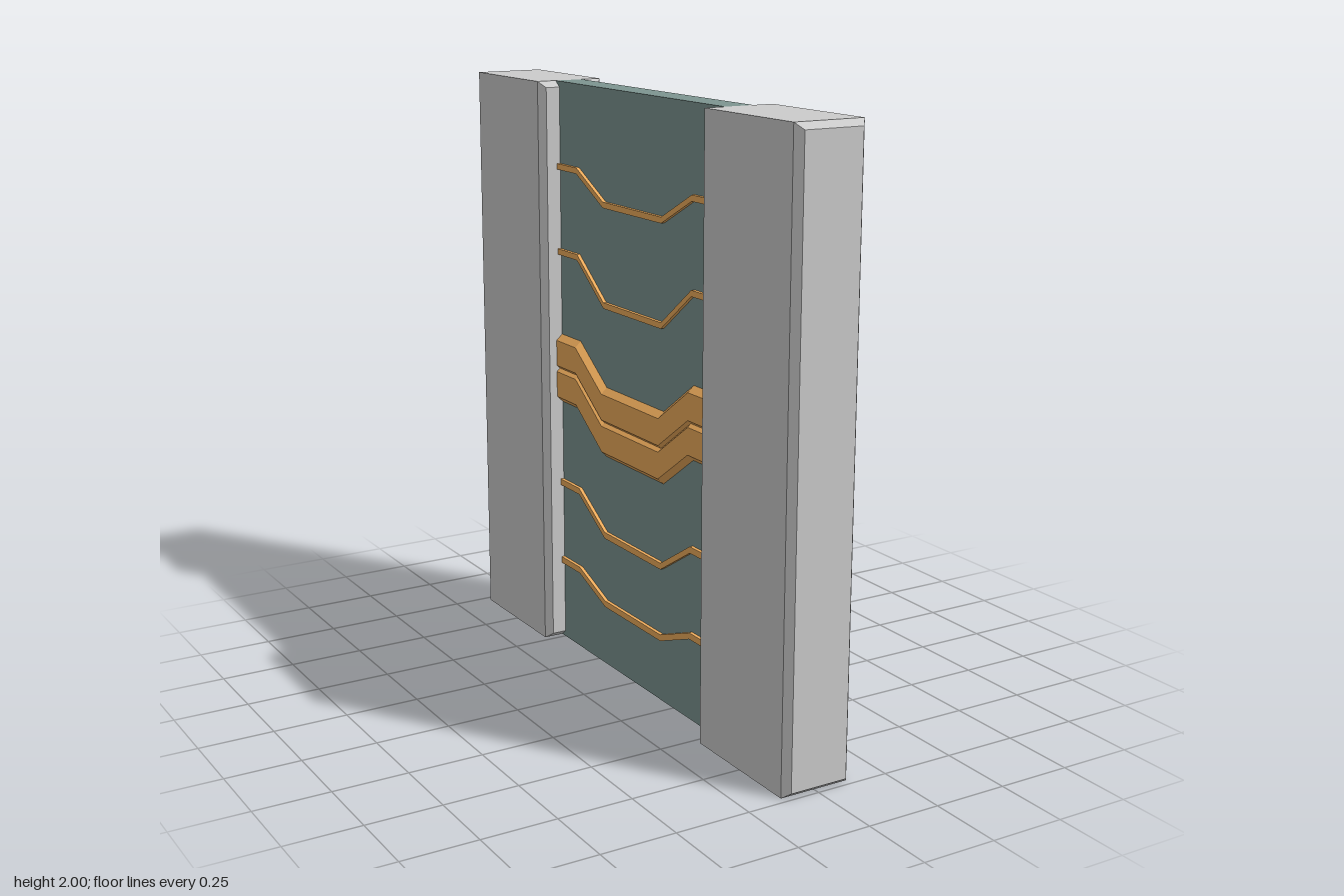
import * as THREE from 'three';

const grey = new THREE.MeshStandardMaterial({ color: 0xcccccc, flatShading: true });
const teal = new THREE.MeshStandardMaterial({ color: 0x7d9591, flatShading: true });
const bronze = new THREE.MeshStandardMaterial({ color: 0xeeac5c, flatShading: true });

// Upright block whose two z ends taper in with a chamfer
function postGeometry() {
  const w = 0.1, h = 0.98;
  const shape = new THREE.Shape();
  shape.moveTo(-w, -h).lineTo(w, -h).lineTo(w, h).lineTo(-w, h).closePath();
  const geo = new THREE.ExtrudeGeometry(shape, {
    depth: 0.45, bevelEnabled: true, bevelSize: 0.02, bevelThickness: 0.025, bevelSegments: 1,
  });
  return geo.translate(0, 1, -0.225);
}

// Raised moulding: a trapezoid section swept along a path that dips in the middle
function mouldingGeometry(y, drop, baseHalf, faceHalf, outerX) {
  const section = [[0.045, -baseHalf], [outerX, -faceHalf], [outerX, faceHalf], [0.045, baseHalf]];
  const path = [[-0.52, y], [-0.365, y], [-0.185, y - drop], [0.185, y - drop], [0.365, y], [0.52, y]];
  const rings = path.map(([z, py]) => section.map(([x, dy]) => [x, py + dy, z]));
  const positions = [];
  for (let i = 0; i < rings.length - 1; i++) {
    for (let j = 0; j < section.length; j++) {
      const k = (j + 1) % section.length;
      const a = rings[i][j], b = rings[i][k], c = rings[i + 1][k], d = rings[i + 1][j];
      positions.push(...a, ...b, ...c, ...a, ...c, ...d);
    }
  }
  const geo = new THREE.BufferGeometry();
  geo.setAttribute('position', new THREE.Float32BufferAttribute(positions, 3));
  geo.computeVertexNormals();
  return geo;
}

export function createModel() {
  const model = new THREE.Group();
  model.name = 'wallPanel';
  const add = (parent, name, geometry, material) => {
    const mesh = new THREE.Mesh(geometry, material);
    mesh.name = name;
    parent.add(mesh);
    return mesh;
  };

  // Posts at both ends
  const post = postGeometry();
  add(model, 'frontPost', post, grey).position.z = 0.75;
  add(model, 'backPost', post, grey).position.z = -0.75;

  // Thin panel between the posts
  add(model, 'panel', new THREE.BoxGeometry(0.1, 2, 1.05), teal).position.y = 1;

  // Mouldings: centre height, dip, half height at base, half height of face, outer x
  const mouldings = [
    ['upperThinStrip', 1.712, 0.092, 0.01, 0.01, 0.062],
    ['lowerUpperThinStrip', 1.418, 0.135, 0.01, 0.01, 0.062],
    ['upperWideBand', 1.06, 0.125, 0.07, 0.045, 0.072],
    ['lowerWideBand', 0.948, 0.125, 0.07, 0.045, 0.072],
    ['upperLowerThinStrip', 0.588, 0.11, 0.011, 0.011, 0.062],
    ['lowerThinStrip', 0.296, 0.068, 0.011, 0.011, 0.062],
  ];
  const geometries = mouldings.map(([name, ...size]) => [name, mouldingGeometry(...size)]);
  for (const [side, turn] of [['left', 0], ['right', Math.PI]]) {
    const group = new THREE.Group();
    group.name = side + 'Mouldings';
    group.rotation.y = turn;
    for (const [name, geo] of geometries) add(group, name, geo, bronze);
    model.add(group);
  }
  return model;
}
